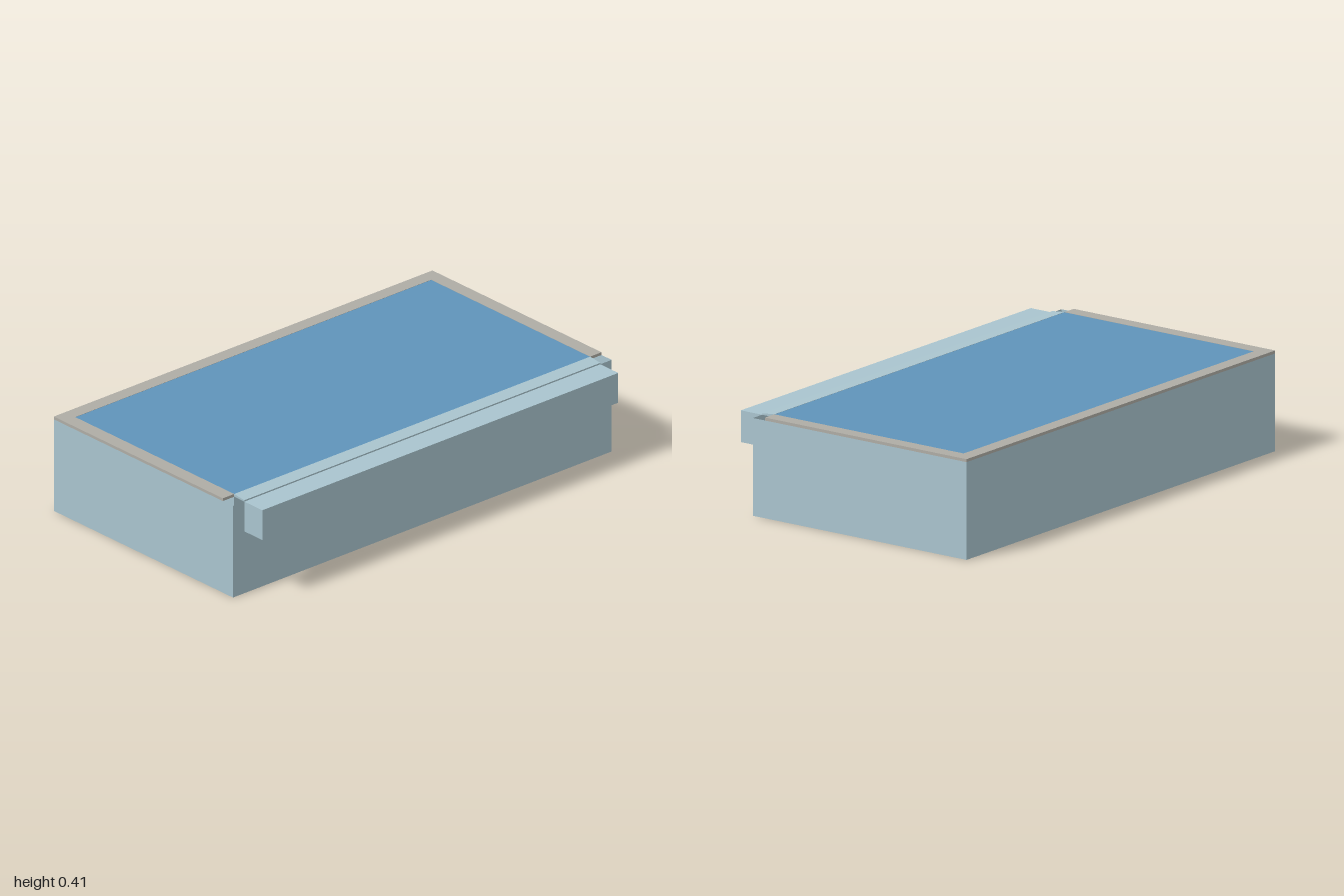
import * as THREE from 'three';

const mat = (name, color, side = THREE.FrontSide) => {
  const m = new THREE.MeshStandardMaterial({ color, side });
  m.name = name;
  return m;
};

export function createModel() {
  const pool = new THREE.Group();
  pool.name = 'infinityPool';
  const tile = mat('paleBlueTile', 0xa9c4ce, THREE.DoubleSide);
  const stone = mat('greyStone', 0xaeaca5);
  const waterBlue = mat('waterBlue', 0x5f94ba, THREE.DoubleSide);

  const X = 1, BACK = -0.583, FRONT = 0.477, T = 0.06; // outer shell and wall thickness
  const WALL = 0.4, TOP = 0.412;
  const xi = X - T, backIn = BACK + T, frontIn = FRONT - T;

  const add = (name, geometry, material, x = 0, y = 0, z = 0) => {
    const mesh = new THREE.Mesh(geometry, material);
    mesh.name = name;
    mesh.position.set(x, y, z);
    pool.add(mesh);
    return mesh;
  };

  // Four upright panels around a rectangle
  const shell = (name, hx, z0, z1, h) => {
    const zc = (z0 + z1) / 2;
    add(name + 'Front', new THREE.PlaneGeometry(2 * hx, h), tile, 0, h / 2, z1);
    add(name + 'Back', new THREE.PlaneGeometry(2 * hx, h).rotateY(Math.PI), tile, 0, h / 2, z0);
    for (const s of [-1, 1]) {
      add(name + (s > 0 ? 'Left' : 'Right'),
        new THREE.PlaneGeometry(z1 - z0, h).rotateY(s * Math.PI / 2), tile, s * hx, h / 2, zc);
    }
  };

  // Hollow walls, open underneath: outer skin, inner skin and basin floor
  shell('outerWall', X, BACK, FRONT, WALL);
  shell('innerWall', xi, backIn, frontIn, WALL);
  const floor = new THREE.PlaneGeometry(2 * xi, frontIn - backIn).rotateX(Math.PI / 2);
  add('basinFloor', floor, tile, 0, 0, (frontIn + backIn) / 2);

  // U-shaped coping on the back and sides
  const u = new THREE.Shape([
    [-X, -frontIn], [-xi, -frontIn], [-xi, -backIn], [xi, -backIn],
    [xi, -frontIn], [X, -frontIn], [X, -BACK], [-X, -BACK],
  ].map(([x, y]) => new THREE.Vector2(x, y)));
  const coping = new THREE.ExtrudeGeometry(u, { depth: TOP - WALL, bevelEnabled: false });
  add('coping', coping.rotateX(-Math.PI / 2), stone, 0, WALL, 0);

  // Water surface level with the coping
  const surface = new THREE.PlaneGeometry(2 * xi, frontIn - backIn).rotateX(-Math.PI / 2);
  add('water', surface, waterBlue, 0, TOP - 0.001, (frontIn + backIn) / 2);

  // Sloping overflow edge on the front wall
  const lip = new THREE.Shape([
    [-FRONT, WALL], [-frontIn, WALL], [-frontIn, TOP], [-FRONT, 0.406],
  ].map(([x, y]) => new THREE.Vector2(x, y)));
  const edge = new THREE.ExtrudeGeometry(lip, { depth: 2 * xi, bevelEnabled: false });
  add('overflowEdge', edge.translate(0, 0, -xi).rotateY(Math.PI / 2), tile);

  // Catch trough hung on the front wall
  const depth = 0.583 - FRONT;
  add('catchTrough', new THREE.BoxGeometry(2 * xi, 0.13, depth), tile, 0, 0.335, FRONT + depth / 2);

  return pool;
}
